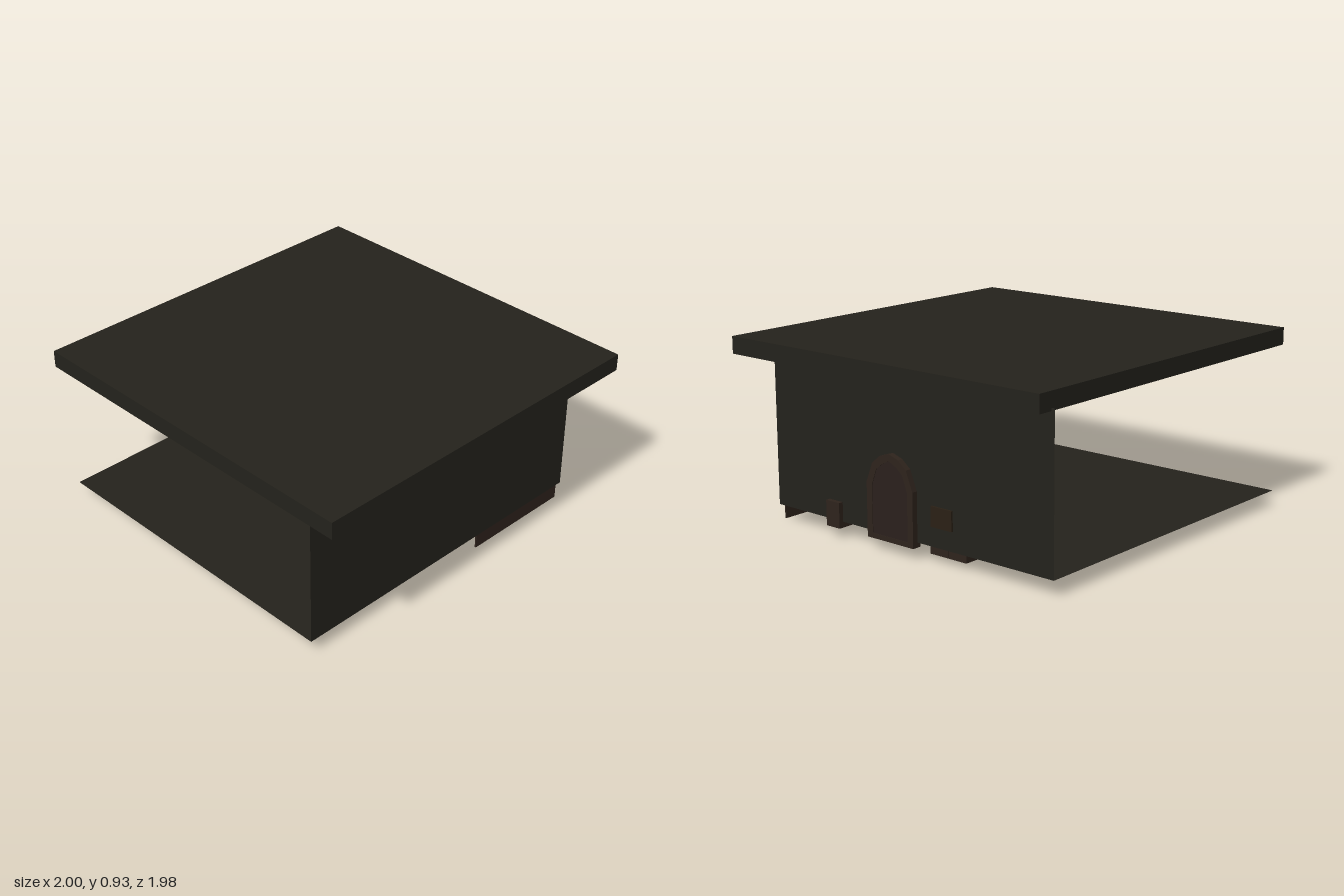
import * as THREE from 'three';

const STONE = 0x24221c, WOOD = 0x2e231c, CRATE = 0x2a2015, DOOR = 0x2a201c, DARK = 0x121819;

const mat = (color) => new THREE.MeshStandardMaterial({ color, flatShading: true, side: THREE.DoubleSide });

function add(parent, name, geometry, color) {
  const mesh = new THREE.Mesh(geometry, mat(color));
  mesh.name = name;
  parent.add(mesh);
  return mesh;
}

// Box given by its limits on each axis
function box(parent, name, color, [x0, x1], [y0, y1], [z0, z1]) {
  const mesh = add(parent, name, new THREE.BoxGeometry(x1 - x0, y1 - y0, z1 - z0), color);
  mesh.position.set((x0 + x1) / 2, (y0 + y1) / 2, (z0 + z1) / 2);
  return mesh;
}

function group(parent, name) {
  const g = new THREE.Group();
  g.name = name;
  parent.add(g);
  return g;
}

// Symmetric faceted arch from its right half, bottom to peak
function archPoints(half) {
  const right = half.map(([x, y]) => new THREE.Vector2(x, y));
  const left = half.slice(0, -1).reverse().map(([x, y]) => new THREE.Vector2(-x, y));
  return [...right, ...left];
}

// Open room: floor, back wall and one side wall
function buildRoom(root) {
  const room = group(root, 'room');
  const floor = add(room, 'floor', new THREE.PlaneGeometry(1.78, 1.82), STONE);
  floor.rotation.x = -Math.PI / 2;
  floor.position.set(-0.11, 0.08, 0);
  const back = add(room, 'backWall', new THREE.PlaneGeometry(1.78, 0.775), STONE);
  back.position.set(-0.11, 0.4675, -0.91);
  const side = add(room, 'sideWall', new THREE.PlaneGeometry(1.82, 0.775), STONE);
  side.rotation.y = Math.PI / 2;
  side.position.set(0.78, 0.4675, 0);
  box(root, 'roof', STONE, [-0.98, 1], [0.84, 0.93], [-0.99, 0.99]);
}

// Arched doorway set through the back wall
function buildDoor(root) {
  const door = group(root, 'door');
  door.position.x = -0.03;
  const outer = archPoints([[0.15, 0.055], [0.15, 0.33], [0.11, 0.43], [0.06, 0.47], [0, 0.49]]);
  const inner = archPoints([[0.115, 0.08], [0.115, 0.32], [0.085, 0.4], [0.05, 0.43], [0, 0.455]]);
  const frame = new THREE.Shape(outer);
  frame.holes.push(new THREE.Path(inner));
  add(door, 'doorFrame', new THREE.ExtrudeGeometry(frame, { depth: 0.05, bevelEnabled: false }), WOOD)
    .position.z = -0.94;
  add(door, 'doorPanel', new THREE.ExtrudeGeometry(new THREE.Shape(inner), { depth: 0.02, bevelEnabled: false }), DOOR)
    .position.z = -0.937;
}

// Stacked crates against the back wall
function buildCrates(root) {
  const crates = group(root, 'crates');
  box(crates, 'lowerCrate', WOOD, [-0.46, -0.35], [0.03, 0.18], [-0.88, -0.75]);
  box(crates, 'lowerCrate', WOOD, [-0.345, -0.235], [0.03, 0.18], [-0.88, -0.75]);
  box(crates, 'upperCrate', CRATE, [-0.405, -0.275], [0.18, 0.28], [-0.92, -0.78]);
}

// Table with a panel leg at each end, and the things lying on it
function buildTable(root) {
  const table = group(root, 'table');
  box(table, 'tableTop', WOOD, [0, 0.5], [0.177, 0.187], [0.02, 0.23]);
  for (const x of [0.035, 0.465])
    box(table, 'tableLeg', WOOD, [x - 0.005, x + 0.005], [0.075, 0.18], [0.05, 0.2]);

  const lump = add(table, 'lump', new THREE.IcosahedronGeometry(1, 1), DARK);
  lump.scale.set(0.065, 0.04, 0.05);
  lump.position.set(0.088, 0.225, 0.14);
  box(table, 'lumpTip', 0x3a1814, [0.02, 0.04], [0.2, 0.23], [0.125, 0.155]);
  const curve = new THREE.QuadraticBezierCurve3(
    new THREE.Vector3(0.09, 0.255, 0.14), new THREE.Vector3(0.13, 0.275, 0.14), new THREE.Vector3(0.2, 0.266, 0.14));
  add(table, 'handle', new THREE.TubeGeometry(curve, 6, 0.005, 6), DARK);

  // Tapering wedge
  const wedge = new THREE.Shape([[0.23, 0.187], [0.5, 0.187], [0.42, 0.222], [0.33, 0.255], [0.235, 0.27]]
    .map(([x, y]) => new THREE.Vector2(x, y)));
  add(table, 'wedge', new THREE.ExtrudeGeometry(wedge, { depth: 0.09, bevelEnabled: false }), DARK)
    .position.z = 0.09;
}

// Shelves along the side wall with a few goods, and a low chest
function buildShelves(root) {
  const shelf = group(root, 'wallShelf');
  const z = [-0.88, -0.25];
  box(shelf, 'shelfBack', WOOD, [0.768, 0.776], [0, 0.63], z);
  for (const y of [0.2, 0.29, 0.38, 0.46, 0.54])
    box(shelf, 'shelfBoard', WOOD, [0.73, 0.77], [y, y + 0.008], z);
  const goods = [[0.208, 0.08, WOOD], [0.298, 0.06, 0x30301a], [0.388, 0.035, 0x222a20], [0.548, 0.065, 0x331a16]];
  goods.forEach(([y, h, color], row) => {
    for (let i = 0; i < 4; i++) {
      const z0 = -0.84 + i * 0.15 + row * 0.01;
      box(shelf, 'shelfGoods', color, [0.735, 0.765], [y, y + h], [z0, z0 + 0.07]);
    }
  });
  box(root, 'chest', WOOD, [0.665, 0.775], [0.08, 0.2], [-0.88, -0.72]);
  box(root, 'smallBox', CRATE, [0.72, 0.77], [0.08, 0.13], [-0.2, -0.1]);
}

export function createModel() {
  const root = new THREE.Group();
  root.name = 'openRoom';
  buildRoom(root);
  buildDoor(root);
  buildCrates(root);
  buildTable(root);
  buildShelves(root);
  // Long bench running into the back wall
  box(root, 'bench', WOOD, [0.32, 0.41], [0.05, 0.18], [-0.935, -0.21]);
  return root;
}
